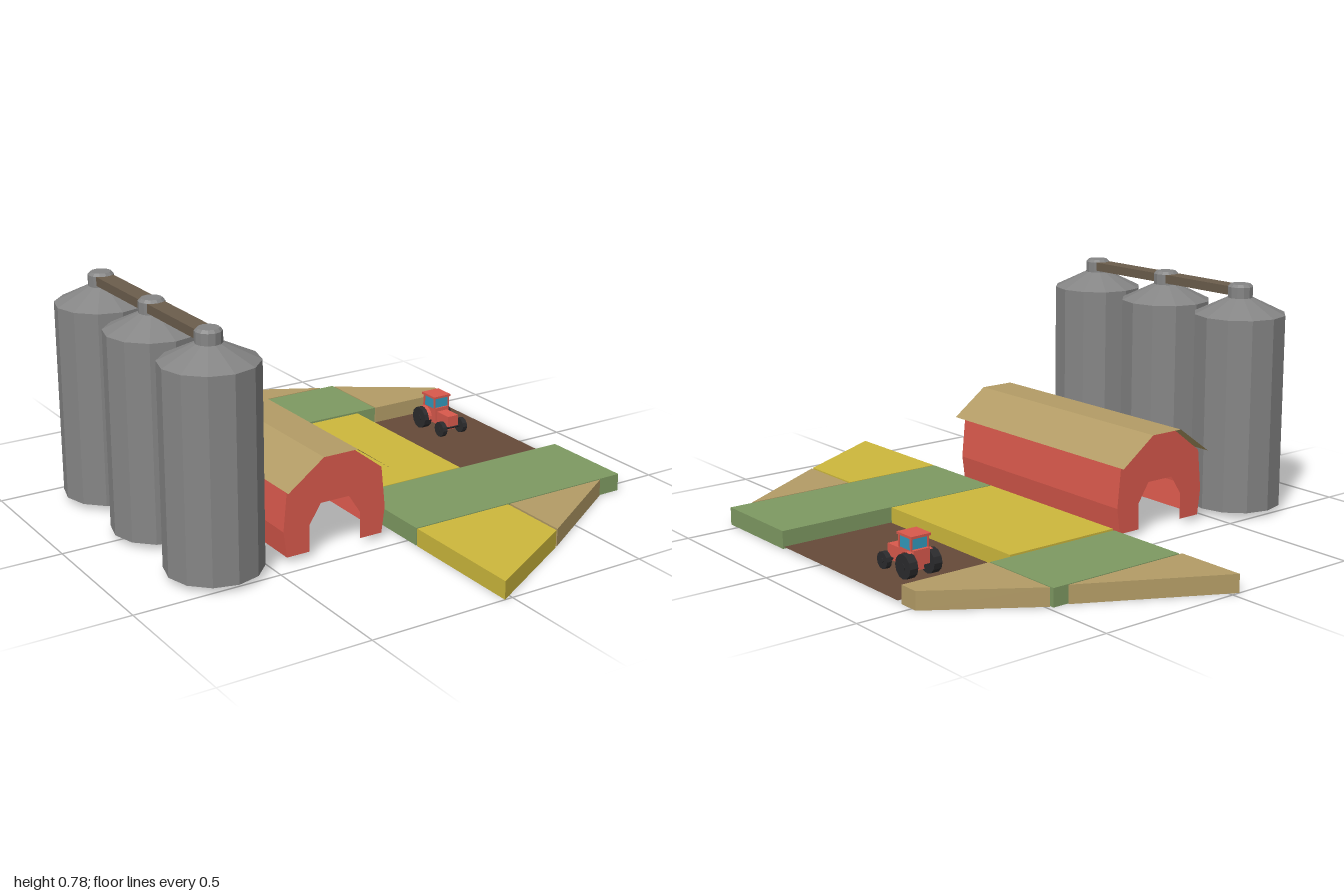
import * as THREE from 'three';

const mat = (color) => new THREE.MeshStandardMaterial({ color, flatShading: true, side: THREE.DoubleSide });
const M = {
  steel: mat(0x858585), pipe: mat(0x6b5d4c), red: mat(0xd9594c), tan: mat(0xb39c66),
  yellow: mat(0xcdb83c), green: mat(0x7e9a62), soil: mat(0x664a39), tyre: mat(0x2b2b2d), glass: mat(0x3399bb),
};

function add(parent, name, geometry, material, x = 0, y = 0, z = 0) {
  const mesh = new THREE.Mesh(geometry, material);
  mesh.name = name;
  mesh.position.set(x, y, z);
  parent.add(mesh);
  return mesh;
}

// Surface between two rows of points [x, y, z]
function ribbon(a, b) {
  const pos = [];
  for (let i = 0; i < a.length - 1; i++) {
    pos.push(...a[i], ...a[i + 1], ...b[i + 1], ...a[i], ...b[i + 1], ...b[i]);
  }
  const g = new THREE.BufferGeometry();
  g.setAttribute('position', new THREE.Float32BufferAttribute(pos, 3));
  g.computeVertexNormals();
  return g;
}

// An [x, y] profile swept along z
const sweep = (profile, z0, z1) =>
  ribbon(profile.map(([x, y]) => [x, y, z0]), profile.map(([x, y]) => [x, y, z1]));

const shapeOf = (pts) => new THREE.Shape(pts.map(([x, y]) => new THREE.Vector2(x, y)));

// Raised field bed, open underneath, from an [x, z] outline
function field(parent, name, outline, material) {
  const g = new THREE.Group();
  g.name = name;
  const h = 0.06;
  const top = new THREE.ShapeGeometry(shapeOf(outline.map(([x, z]) => [x, -z])));
  top.rotateX(-Math.PI / 2);
  add(g, name + 'Top', top, material, 0, h, 0);
  const loop = [...outline, outline[0]];
  add(g, name + 'Walls', ribbon(loop.map(([x, z]) => [x, 0, z]), loop.map(([x, z]) => [x, h, z])), material);
  parent.add(g);
}

const rect = (x0, x1, z0, z1) => [[x0, z1], [x1, z1], [x1, z0], [x0, z0]];

function makeSilos() {
  const g = new THREE.Group();
  g.name = 'silos';
  const profile = [[0, 0.02], [0.157, 0.02], [0.157, 0.683], [0.043, 0.738], [0.043, 0.775], [0.034, 0.784], [0, 0.784]]
    .map(([x, y]) => new THREE.Vector2(x, y));
  for (const z of [-0.362, 0.003, 0.37]) add(g, 'silo', new THREE.LatheGeometry(profile, 12), M.steel, -0.66, 0, z);
  // Conveyor joining the caps
  add(g, 'conveyor', new THREE.BoxGeometry(0.06, 0.03, 0.732), M.pipe, -0.66, 0.76, 0.004);
  return g;
}

function makeBarn() {
  const g = new THREE.Group();
  g.name = 'barn';
  const cx = -0.266, z0 = -0.4, z1 = 0.44;
  // Half outline of the gable, outer then inner
  const outer = [[0.176, 0.02], [0.188, 0.108], [0.174, 0.247], [0.06, 0.335]];
  const inner = [[0.052, 0.175], [0.094, 0.11], [0.094, 0.02]];
  const flip = (pts) => pts.map(([x, y]) => [-x, y]).reverse();
  const gable = new THREE.ShapeGeometry(shapeOf([...outer, ...flip(outer), ...flip(inner), ...inner]));
  add(g, 'frontGable', gable, M.red, cx, 0, z1);
  add(g, 'backGable', gable, M.red, cx, 0, z0);
  const wall = outer.slice(0, 3);
  add(g, 'leftWall', sweep(wall, z0, z1), M.red, cx);
  add(g, 'rightWall', sweep(flip(wall), z0, z1), M.red, cx);
  // Overhanging thin roof
  const eave = [[0.19, 0.248], [0.062, 0.341]];
  add(g, 'roof', sweep([...eave, ...flip(eave)], -0.43, 0.475), M.tan, cx);
  return g;
}

function makeFields() {
  const g = new THREE.Group();
  g.name = 'fields';
  const w = -0.028;
  field(g, 'backCornerField', [[w, -0.755], [0.43, -0.755], [w, -1]], M.tan);
  field(g, 'backGreenField', rect(-0.02, 0.483, -0.75, -0.45), M.green);
  field(g, 'backSideField', [[0.487, -0.45], [0.81, -0.45], [0.81, -0.52], [0.487, -0.738]], M.tan);
  field(g, 'middleYellowField', rect(w, 0.395, -0.435, 0.205), M.yellow);
  field(g, 'frontGreenField', rect(w, 0.815, 0.209, 0.545), M.green);
  field(g, 'frontYellowField', [[w, 1], [0.335, 0.795], [0.335, 0.55], [w, 0.55]], M.yellow);
  field(g, 'frontCornerField', [[0.344, 0.79], [0.73, 0.55], [0.344, 0.55]], M.tan);
  // Flat ploughed soil, lower than the beds
  const soil = new THREE.PlaneGeometry(0.415, 0.64).rotateX(-Math.PI / 2);
  add(g, 'ploughedSoil', soil, M.soil, 0.606, 0.008, -0.115);
  return g;
}

function makeTractor() {
  const g = new THREE.Group();
  g.name = 'tractor';
  const box = (name, m, w, h, d, y, z) => add(g, name, new THREE.BoxGeometry(w, h, d), m, 0, y, z);
  box('chassis', M.red, 0.03, 0.03, 0.13, 0.045, -0.24);
  box('hood', M.red, 0.046, 0.04, 0.08, 0.065, -0.205);
  box('cabBase', M.red, 0.06, 0.05, 0.08, 0.073, -0.275);
  box('cabWindows', M.glass, 0.062, 0.04, 0.062, 0.115, -0.272);
  box('cabRoof', M.red, 0.074, 0.008, 0.078, 0.139, -0.274);
  for (const sx of [-1, 1]) {
    for (const sz of [-1, 1]) {
      const post = new THREE.BoxGeometry(0.006, 0.04, 0.006);
      add(g, 'cabPost', post, M.red, sx * 0.031, 0.116, -0.272 + sz * 0.031);
    }
    const wheel = (name, r, w, x, y, z) => {
      add(g, name, new THREE.CylinderGeometry(r, r, w, 12).rotateZ(Math.PI / 2), M.tyre, sx * x, y, z);
      add(g, name + 'Hub', new THREE.CylinderGeometry(r * 0.3, r * 0.3, w + 0.004, 8).rotateZ(Math.PI / 2), M.tyre, sx * x, y, z);
    };
    wheel('rearWheel', 0.04, 0.03, 0.045, 0.05, -0.298);
    wheel('frontWheel', 0.028, 0.018, 0.045, 0.038, -0.178);
    // Mudguard over the rear wheel
    const guard = new THREE.CylinderGeometry(0.043, 0.043, 0.018, 6, 1, true, 0, Math.PI * 0.6);
    guard.rotateZ(Math.PI / 2);
    add(g, 'mudguard', guard, M.red, sx * 0.036, 0.05, -0.298);
  }
  const axle = (name, y, z) =>
    add(g, name, new THREE.CylinderGeometry(0.006, 0.006, 0.09, 6).rotateZ(Math.PI / 2), M.tyre, 0, y, z);
  axle('rearAxle', 0.05, -0.298);
  axle('frontAxle', 0.038, -0.178);
  g.position.x = 0.64;
  return g;
}

export function createModel() {
  const model = new THREE.Group();
  model.name = 'farm';
  model.add(makeSilos(), makeBarn(), makeFields(), makeTractor());
  return model;
}
